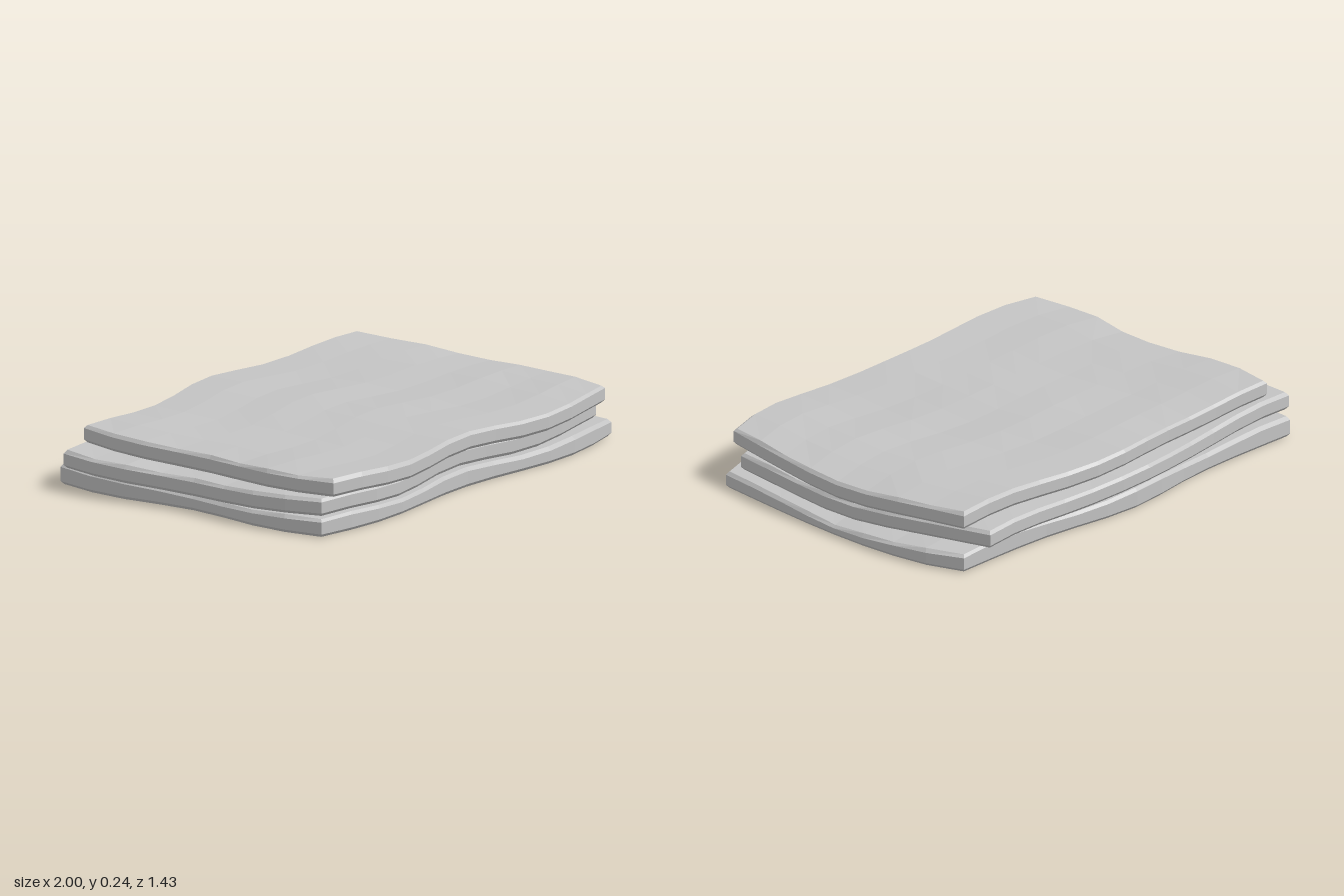
import * as THREE from 'three';

const NX = 12, NZ = 8, INSET = 0.012, BEVEL = 0.013, THICK = 0.072;

// How far each side bows away from a straight line, t running from 0 to 1
const sine = (n, t) => Math.sin(n * Math.PI * t);
const backBow = (t) => 0.01 * sine(1, t) - 0.064 * Math.exp(-(((t - 0.51) / 0.18) ** 2));
const frontBow = (t) => 0.041 * sine(1, t) - 0.007 * sine(2, t) + 0.033 * sine(3, t);
const leftBow = (t) => -0.019 * sine(1, t) - 0.024 * sine(3, t);
const rightBow = (t, skew) => 0.076 * sine(1, t ** skew);

// Gentle undulation shared by all slabs: ripples across, sagging side edges
function wave(x, z) {
  const ripple = 0.008 * Math.cos((2 * Math.PI * (x + 0.07)) / 0.76);
  const sag = -0.023 * Math.exp(-((z / 0.29) ** 2)) * Math.min(1, Math.abs(x)) ** 3;
  return ripple + sag - 0.006 * z;
}

// Small repeatable unevenness for the hewn faces
const rough = (i, j, y) => 0.003 * Math.sin(i * 12.9 + j * 78.2 + y * 500);

function slabGeometry({ y, corners, skew, flatBase }) {
  const [backLeft, backRight, frontLeft, frontRight] = corners;
  const { lerp } = THREE.MathUtils;

  // Plan position of a grid point, bowed toward the nearest sides
  const plan = (i, j) => {
    const u = i / NX, v = j / NZ;
    const straight = (k) => lerp(lerp(backLeft[k], backRight[k], u), lerp(frontLeft[k], frontRight[k], u), v);
    return [
      straight(0) + lerp(leftBow(v), rightBow(v, skew), u),
      straight(1) + lerp(backBow(u), frontBow(u), v),
    ];
  };

  // Four layers: base, top of lower bevel, foot of upper bevel, upper face
  const top = (x, z) => y + THICK + wave(x, z);
  const low = (x, z) => (flatBase ? 0 : y + wave(x, z));
  const inset = (x, h, z) => [x * (1 - INSET), h, z * (1 - INSET * 1.4)];
  const layers = [
    (x, z) => inset(x, low(x, z), z),
    (x, z) => [x, low(x, z) + BEVEL, z],
    (x, z) => [x, top(x, z) - BEVEL, z],
    (x, z, i, j) => inset(x, top(x, z) + rough(i, j, y), z),
  ];
  const positions = [], index = [];
  for (const place of layers)
    for (let j = 0; j <= NZ; j++)
      for (let i = 0; i <= NX; i++) positions.push(...place(...plan(i, j), i, j));
  const id = (layer, i, j) => (layer * (NZ + 1) + j) * (NX + 1) + i;

  // Upper and lower faces
  for (let j = 0; j < NZ; j++)
    for (let i = 0; i < NX; i++)
      for (const k of [0, 3]) {
        const a = id(k, i, j), b = id(k, i, j + 1), c = id(k, i + 1, j + 1), d = id(k, i + 1, j);
        index.push(...(k ? [a, b, d, b, c, d] : [a, d, b, b, d, c]));
      }

  // Rim: lower bevel, side wall, upper bevel
  const rim = [];
  for (let i = 0; i < NX; i++) rim.push([i, NZ]);
  for (let j = NZ; j > 0; j--) rim.push([NX, j]);
  for (let i = NX; i > 0; i--) rim.push([i, 0]);
  for (let j = 0; j < NZ; j++) rim.push([0, j]);
  rim.forEach((p, n) => {
    const q = rim[(n + 1) % rim.length];
    for (let k = 0; k < 3; k++) {
      const a = id(k, ...p), b = id(k, ...q), c = id(k + 1, ...q), d = id(k + 1, ...p);
      index.push(a, b, c, a, c, d);
    }
  });

  const indexed = new THREE.BufferGeometry();
  indexed.setAttribute('position', new THREE.Float32BufferAttribute(positions, 3));
  indexed.setIndex(index);
  const geometry = indexed.toNonIndexed();
  geometry.computeVertexNormals();
  return geometry;
}

// Corners as [x, z]: back -x, back +x, front -x, front +x
const slabs = [
  { name: 'bottomSlab', y: 0.003, skew: 0.7, flatBase: true,
    corners: [[-0.93, -0.71], [0.93, -0.62], [-0.96, 0.58], [0.91, 0.64]] },
  { name: 'middleSlab', y: 0.08, skew: 1, flatBase: false,
    corners: [[-0.98, -0.66], [0.835, -0.675], [-0.945, 0.57], [0.87, 0.595]] },
  { name: 'topSlab', y: 0.158, skew: 1, flatBase: false,
    corners: [[-0.87, -0.64], [0.89, -0.585], [-0.92, 0.61], [0.84, 0.66]] },
];

export function createModel() {
  const stone = new THREE.MeshStandardMaterial({ color: 0xc4c4c4, flatShading: true });
  stone.name = 'stoneGrey';
  const group = new THREE.Group();
  group.name = 'stackedStoneSlabs';
  for (const slab of slabs) {
    const mesh = new THREE.Mesh(slabGeometry(slab), stone);
    mesh.name = slab.name;
    group.add(mesh);
  }
  return group;
}
